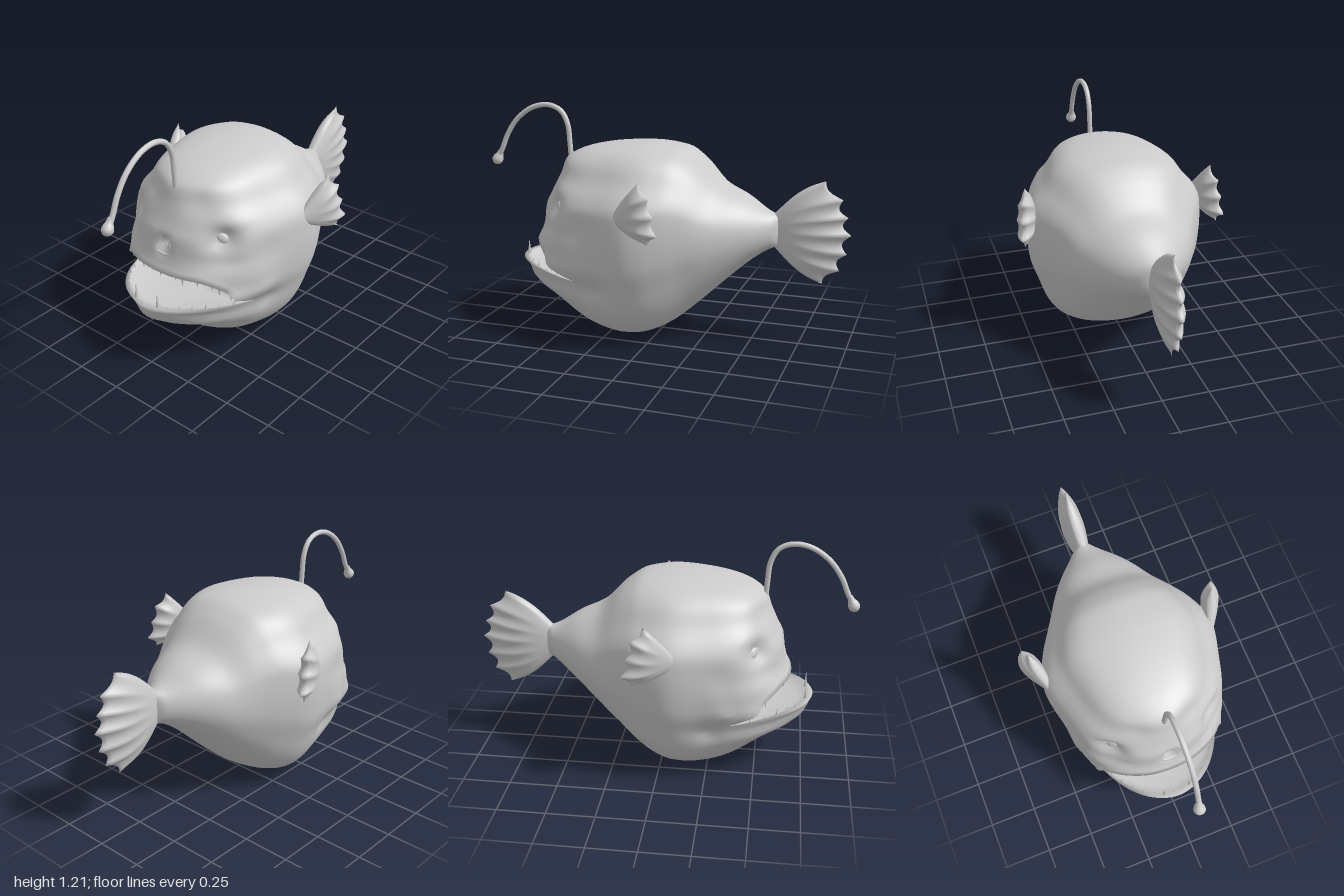
import * as THREE from 'three';
import { mergeVertices } from 'three/addons/utils/BufferGeometryUtils.js';

const material = new THREE.MeshStandardMaterial({ color: 0xcccccc });
const H = 1.035, Z0 = 0.06, HALF = Math.PI / 2, WIDEST = 0.476;
const clamp = THREE.MathUtils.clamp, lerp = THREE.MathUtils.lerp;

// Smooth monotone curve through [x, value] keys, x ascending
function curve(keys) {
  const n = keys.length - 1;
  const d = k => (keys[k + 1][1] - keys[k][1]) / (keys[k + 1][0] - keys[k][0]);
  const slope = k => {
    if (k === 0) return d(0);
    if (k === n) return d(n - 1);
    const a = d(k - 1), b = d(k);
    return a * b > 0 ? 2 * a * b / (a + b) : 0;
  };
  return x => {
    x = clamp(x, keys[0][0], keys[n][0]);
    let i = 0;
    while (i < n - 1 && x > keys[i + 1][0]) i++;
    const h = keys[i + 1][0] - keys[i][0], s = (x - keys[i][0]) / h, r = 1 - s;
    return keys[i][1] * (1 + 2 * s) * r * r + keys[i + 1][1] * s * s * (3 - 2 * s)
      + h * s * r * (slope(i) * r - slope(i + 1) * s);
  };
}
// Heights are handled as an angle from belly to crown so the poles stay round
const toAngle = y => Math.acos(clamp(1 - 2 * y / H, -1, 1));
const toHeight = a => H * (1 - Math.cos(a)) / 2;
const byHeight = keys => {
  const c = curve(keys.map(([y, v]) => [toAngle(y), v]));
  return y => c(toAngle(y));
};

const width = byHeight([[0, 0], [0.01, 0.12], [0.03, 0.205], [0.1, 0.32], [0.2, 0.385], [0.3, 0.42], [0.45, 0.465],
  [0.6, WIDEST], [0.72, 0.47], [0.79, 0.435], [0.86, 0.375], [0.95, 0.31], [1.0, 0.235], [1.025, 0.13], [H, 0]]);
const faceZ = byHeight([[0, Z0], [0.006, 0.2], [0.03, 0.31], [0.1, 0.45], [0.21, 0.61], [0.25, 0.7], [0.3, 0.765],
  [0.37, 0.78], [0.4, 0.77], [0.46, 0.68], [0.52, 0.66], [0.56, 0.65], [0.6, 0.64], [0.7, 0.625], [0.75, 0.6],
  [0.85, 0.56], [0.93, 0.53], [0.98, 0.45], [1.02, 0.28], [H, Z0]]);
// The last keys lie past the seam to carry the slope over it
const backTop = curve([[-0.65, 0.69], [-0.6, 0.7], [-0.45, 0.785], [-0.33, 0.84], [-0.2, 0.965], [-0.1, 1.02],
  [Z0, H], [0.2, H]]);
const bellyLine = curve([[-0.65, 0.53], [-0.6, 0.515], [-0.52, 0.465], [-0.42, 0.38], [-0.21, 0.182], [-0.1, 0.088],
  [-0.02, 0.042], [Z0, 0.014], [0.16, 0]]);
const backWidth = curve([[-0.65, 0], [-0.63, 0.05], [-0.6, 0.08], [-0.5, 0.178], [-0.4, 0.255], [-0.3, 0.315],
  [-0.2, 0.37], [-0.1, 0.425], [0, 0.466], [Z0, WIDEST], [0.2, WIDEST]]);
const cheekTaper = curve([[0, 1], [Z0, 1], [0.25, 0.96], [0.5, 1], [0.6, 1]]);

// Mouth: t runs from the left side (0) over the front to the right side (PI)
const CORNER = 0.5;
const fold = t => Math.min(t, Math.PI - t);
const open = t => Math.sin(clamp((fold(t) - CORNER) / 0.75, 0, 1) * HALF);
const lowerLip = t => 0.345 + 0.035 * open(t);
const upperLip = t => 0.345 + 0.17 * open(t);

// Soft dents and swellings: t, y, spread in t, spread in y, amount
const bumps = [
  [0.95, 0.71, 0.17, 0.06, -0.1], [0.8, 0.8, 0.25, 0.04, 0.02], [0.95, 0.6, 0.25, 0.04, -0.03],
  [0.36, 0.29, 0.09, 0.05, -0.04], [0.4, 0.42, 0.1, 0.06, 0.02],
  [0.45, 0.62, 0.15, 0.08, -0.02], [HALF, 0.65, 0.06, 0.035, -0.08], [1.2, 0.88, 0.2, 0.07, -0.03]
];
function surface(t, y) {
  const f = fold(t), c = Math.cos(t);
  const n = 2.15 - 0.45 * Math.exp(-(((y - 0.32) / 0.08) ** 2)) + 0.45 * Math.exp(-((y / 0.1) ** 2))
    + 0.1 * Math.exp(-(((y - 0.52) / 0.08) ** 2));
  let k = 1;
  for (const [bt, by, st, sy, amount] of bumps)
    k += amount * Math.exp(-(((f - bt) / st) ** 2) - ((y - by) / sy) ** 2) * THREE.MathUtils.smoothstep(f, 0, 0.25);
  for (const lip of [lowerLip(t), upperLip(t)])
    k += 0.02 * open(t) * Math.exp(-(((y - lip) / 0.025) ** 2));
  const z = Z0 + Math.max(0, Math.sin(t)) ** (2 / n) * (faceZ(y) - Z0) * k;
  return new THREE.Vector3(Math.sign(c) * Math.abs(c) ** (2 / n) * width(y) * k * cheekTaper(z),
    lerp(bellyLine(z), H, y / H), z);
}
// Point inside the face surface, pulled towards the middle of the head
function inside(t, yRef, pull, y) {
  const p = surface(t, yRef);
  return p.set(p.x * (1 - pull), p.y + y - yRef, Z0 + (p.z - Z0) * (1 - pull));
}

// Smooth mesh from a grid of points
function grid(ni, nj, point) {
  const pos = [], index = [];
  for (let i = 0; i <= ni; i++) for (let j = 0; j <= nj; j++) {
    pos.push(...point(i, j).toArray());
    if (i < ni && j < nj) {
      const a = i * (nj + 1) + j, c = a + nj + 1;
      index.push(a, a + 1, c, a + 1, c + 1, c);
    }
  }
  let g = new THREE.BufferGeometry();
  g.setAttribute('position', new THREE.Float32BufferAttribute(pos, 3));
  g.setIndex(index);
  g = mergeVertices(g, 1e-4);
  g.computeVertexNormals();
  return g;
}

// Whole body with the mouth cavity turned inwards between the lips
function bodyGeometry() {
  const NB = 28, NF = 104, NL = 20, NU = 34;
  // lip (0 lower, 0.5 middle, 1 upper), pull inwards, height offset
  const cavity = [[0, 0.05, 0], [0, 0.1, -0.04], [0, 0.4, -0.05], [0, 0.6, -0.03], [0.5, 0.65, 0],
    [1, 0.6, 0.04], [1, 0.4, 0.05], [1, 0.08, 0.03], [1, 0.04, 0]];
  const NC = cavity.length;
  return grid(2 * NB + NF, NL + NC + NU + 1, (i, j) => {
    const t = clamp((i - NB) / NF, 0, 1) * Math.PI;
    const lo = lowerLip(t), up = upperLip(t);
    if (j > NL && j <= NL + NC && i >= NB && i <= NB + NF) {
      const [lip, pull, dy] = cavity[j - NL - 1], o = open(t);
      return inside(t, lip === 1 ? up : lo, pull * o, lerp(lo, up, lip) + dy * o);
    }
    const y = j <= NL ? toHeight(toAngle(lo) * j / NL)
      : j <= NL + NC ? lo
        : toHeight(lerp(toAngle(up), Math.PI, (j - NL - NC - 1) / NU));
    if (i >= NB && i <= NB + NF) return surface(t, y);
    // behind the seam the section eases into an ellipse
    const side = i < NB ? 1 : -1, s = (i < NB ? NB - i : i - NB - NF) / NB;
    const z = lerp(Z0, -0.65, s);
    const section = lerp(width(y) / WIDEST, Math.sin(toAngle(y)), THREE.MathUtils.smoothstep(s, 0, 0.8));
    return new THREE.Vector3(side * section * backWidth(z), lerp(bellyLine(z), backTop(z), y / H), z);
  });
}

// Scalloped fin in the z-y plane: root edge from top to bottom, ray tips from top to bottom
function finGeometry(rootZ, rootTop, rootBottom, tips, thick, bulge, taper) {
  const rays = tips.length - 1, NV = rays * 8, NU = 14;
  const tipZ = curve(tips.map((p, k) => [k, p[0]])), tipY = curve(tips.map((p, k) => [k, p[1]]));
  const sheet = side => (i, j) => {
    const v = i / NV * rays, ripple = Math.abs(Math.sin(v * Math.PI));
    const q = i / NV, s = j / NU, u = s * (1 - 0.1 * ripple);
    const edge = Math.max(0, 1 - (2 * q - 1) ** 2) ** 0.4;
    const swell = (0.6 + 1.9 * s) * (1 - s ** taper);
    const bow = bulge * Math.sin(u * Math.PI) * (q - 0.5);
    return new THREE.Vector3(side * thick * edge * swell * (1 - 0.2 * ripple * u),
      lerp(lerp(rootTop, rootBottom, q), tipY(v), u) - bow, lerp(rootZ, tipZ(v), u));
  };
  // both faces in one grid, running round the fin
  const a = sheet(1), b = sheet(-1);
  return grid(2 * NV, NU, (i, j) => i <= NV ? a(i, j) : b(2 * NV - i, j));
}

export function createModel() {
  const model = new THREE.Group();
  const add = (name, geometry, parent = model) => {
    const mesh = new THREE.Mesh(geometry, material);
    mesh.name = name;
    parent.add(mesh);
    return mesh;
  };
  add('body', bodyGeometry());

  // Fins
  const finMaterial = material.clone();
  finMaterial.side = THREE.DoubleSide;
  add('tailFin', finGeometry(-0.61, 0.7, 0.52, [[-0.86, 0.88], [-0.95, 0.79], [-0.98, 0.7], [-0.998, 0.61],
    [-0.98, 0.51], [-0.945, 0.42], [-0.86, 0.345]], 0.054, 0.06, 1.8)).material = finMaterial;
  const pectoral = finGeometry(0.02, 0.75, 0.69, [[-0.135, 0.92], [-0.2, 0.85], [-0.225, 0.76],
    [-0.25, 0.67], [-0.2, 0.615]], 0.031, 0.015, 4);
  for (const side of [1, -1]) {
    const fin = add(side > 0 ? 'leftPectoralFin' : 'rightPectoralFin', pectoral);
    fin.material = finMaterial;
    fin.position.set(side * 0.45, 0, 0.08);
    fin.rotation.y = -side * 0.38;
  }

  // Lure: stalk and drop-shaped bulb
  const stalk = new THREE.CatmullRomCurve3([[0.88, 0.52], [1.0, 0.527], [1.1, 0.538], [1.17, 0.575], [1.2, 0.645],
    [1.185, 0.74], [1.12, 0.835], [1.03, 0.9], [0.95, 0.935], [0.89, 0.968]].map(([y, z]) => new THREE.Vector3(0, y, z)));
  add('lureStalk', new THREE.TubeGeometry(stalk, 60, 0.014, 12));
  const drop = [[0, -0.032], [0.015, -0.028], [0.027, -0.014], [0.03, 0], [0.026, 0.016], [0.018, 0.035], [0.013, 0.06]];
  const bulb = add('lureBulb', new THREE.LatheGeometry(
    new THREE.SplineCurve(drop.map(p => new THREE.Vector2(Math.max(0, p[0]), p[1]))).getPoints(24), 20));
  bulb.position.set(-0.004, 0.886, 0.97);
  bulb.rotation.x = -0.45;

  // Eyes with lids, facing out from the sockets
  for (const side of [1, -1]) {
    const t = side > 0 ? 0.95 : Math.PI - 0.95, y = 0.71;
    const p = surface(t, y);
    const across = surface(t + 0.1, y).sub(surface(t - 0.1, y));
    const normal = surface(t, y + 0.05).sub(surface(t, y - 0.05)).cross(across).normalize();
    const eye = new THREE.Group();
    eye.name = side > 0 ? 'leftEye' : 'rightEye';
    eye.position.copy(p);
    eye.lookAt(p.clone().add(normal));
    eye.rotateZ(-side * 0.7);
    add('eyeball', new THREE.SphereGeometry(0.034, 20, 14), eye).scale.set(1.1, 0.75, 0.4);
    add('eyelid', new THREE.TorusGeometry(0.039, 0.008, 10, 28), eye).scale.set(1.15, 0.75, 1);
    model.add(eye);
  }

  // Nose: raised rim around a pointed opening, with a small septum
  const rim = new THREE.CatmullRomCurve3([[0, 0.712], [0.026, 0.68], [0.046, 0.63], [0.038, 0.604], [0, 0.598],
    [-0.038, 0.604], [-0.046, 0.63], [-0.026, 0.68]].map(([x, y]) =>
    new THREE.Vector3(x, y, 0.632 - 0.25 * (y - 0.6) - 1.5 * x * x)), true);
  add('noseRim', new THREE.TubeGeometry(rim, 48, 0.008, 8, true));
  const septum = add('noseSeptum', new THREE.ConeGeometry(0.012, 0.06, 10));
  septum.position.set(0, 0.632, 0.6);

  // Teeth along both lips
  const teeth = (name, count, lengths, lip, dir) => {
    const row = new THREE.Group();
    row.name = name;
    for (let k = 0; k < count; k++) {
      const t = lerp(CORNER + 0.18, Math.PI - CORNER - 0.18, k / (count - 1));
      const len = lengths[Math.min(k, count - 1 - k) % lengths.length];
      const cone = new THREE.ConeGeometry(0.006 + len * 0.05, len, 8);
      cone.translate(0, len / 2 - 0.008, 0);
      const tooth = add('tooth', cone, row);
      tooth.position.copy(inside(t, lip(t), 0.035, lip(t)));
      if (dir < 0) tooth.rotation.x = Math.PI;
    }
    model.add(row);
  };
  teeth('upperTeeth', 23, [0.035, 0.05, 0.03, 0.06, 0.04], upperLip, -1);
  teeth('lowerTeeth', 16, [0.03, 0.025, 0.045, 0.035, 0.03, 0.02, 0.09, 0.02], lowerLip, 1);
  return model;
}
